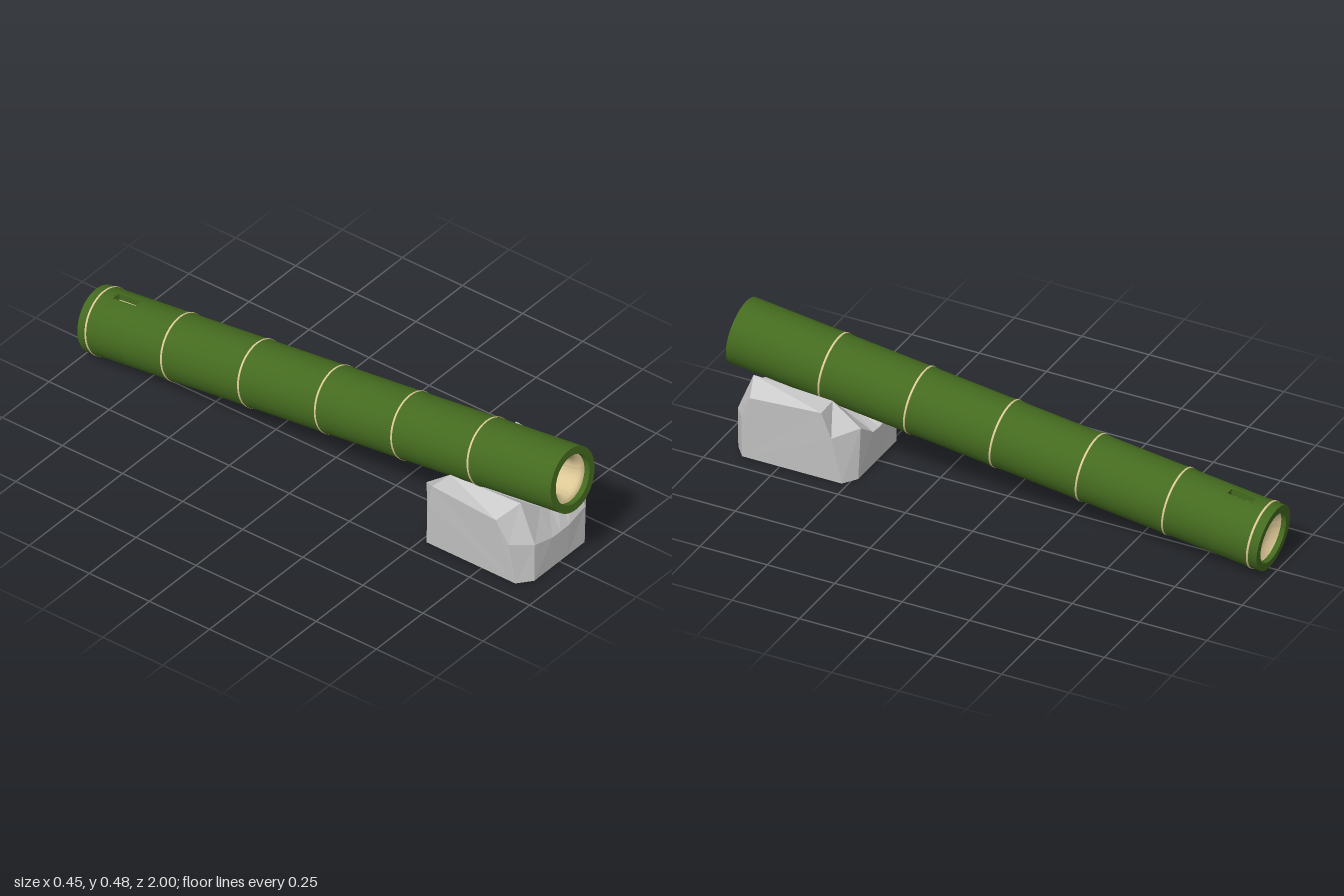
import * as THREE from 'three';
import { toCreasedNormals } from 'three/addons/utils/BufferGeometryUtils.js';

const green = new THREE.MeshStandardMaterial({ color: 0x446a1f });
const cream = new THREE.MeshStandardMaterial({ color: 0xdcc896 });
const grey = new THREE.MeshStandardMaterial({ color: 0xcccccc, flatShading: true });

const HALF = 0.992;                                    // half length of the tube
const TILT = THREE.MathUtils.degToRad(7);
const R = 0.1165;
const NODES = [-0.957, -0.64, -0.317, 0.005, 0.325, 0.645];
const SLOT = { from: -0.912, to: -0.811, half: 0.02 };

function lathe(name, profile, material, start = 0, sweep = Math.PI * 2) {
  const points = profile.map(([r, y]) => new THREE.Vector2(r, y));
  const geometry = toCreasedNormals(new THREE.LatheGeometry(points, 64, start, sweep), 0.6);
  const mesh = new THREE.Mesh(geometry, material);
  mesh.name = name;
  return mesh;
}

function createTube() {
  const tube = new THREE.Group();
  tube.name = 'bambooTube';

  // Stalk segments, swelling slightly towards each joint
  const ends = [-HALF, ...NODES, HALF];
  for (let i = 0; i < ends.length - 1; i++) {
    const a = ends[i], b = ends[i + 1];
    const ra = i === 0 ? R : R + 0.0025, rb = i === ends.length - 2 ? R : R + 0.0025;
    const swell = Math.min(0.03, (b - a) / 3);
    if (i === 1) {
      // The rear segment is left open around the slot on its upper side
      const gap = Math.asin(SLOT.half / R);
      tube.add(lathe('slotSegmentRear', [[ra, a], [R, a + swell], [R, SLOT.from]], green));
      tube.add(lathe('slotSegmentMiddle', [[R, SLOT.from], [R, SLOT.to]], green, Math.PI + gap, 2 * (Math.PI - gap)));
      tube.add(lathe('slotSegmentFront', [[R, SLOT.to], [R, b - swell], [rb, b]], green));
    } else {
      tube.add(lathe('stalkSegment', [[ra, a], [R, a + swell], [R, b - swell], [rb, b]], green));
    }
  }

  // Pale joint rings
  for (const y of NODES) {
    tube.add(lathe('jointRing', [[R, y - 0.005], [0.1198, y - 0.003], [0.1198, y + 0.003], [R, y + 0.005]], cream));
  }

  // Muzzle rim, rounded pale collar and long bore
  tube.add(lathe('muzzleRim', [[R, HALF], [0.089, HALF], [0.088, HALF - 0.02]], green));
  tube.add(lathe('bore', [
    [0.088, HALF - 0.02], [0.081, HALF - 0.021], [0.074, HALF - 0.025], [0.068, HALF - 0.033],
    [0.064, HALF - 0.045], [0.064, -0.75], [0, -0.75],
  ], cream));

  // Rear rim with a shallow dished end
  tube.add(lathe('rearRim', [[0.088, -HALF + 0.025], [0.089, -HALF], [R, -HALF]], green));
  tube.add(lathe('rearDish', [
    [0.0001, -HALF + 0.05], [0.04, -HALF + 0.047], [0.07, -HALF + 0.038], [0.088, -HALF + 0.018],
  ], cream));

  // Slot walls and floor
  const length = SLOT.to - SLOT.from, h = SLOT.half, t = 0.004;
  const rect = (Type, w, l) => new Type([[-w, -l], [w, -l], [w, l], [-w, l]].map(([x, y]) => new THREE.Vector2(x, y)));
  const frameShape = rect(THREE.Shape, h, length / 2);
  frameShape.holes.push(rect(THREE.Path, h - t, length / 2 - t));
  const frame = new THREE.Mesh(new THREE.ExtrudeGeometry(frameShape, { depth: 0.028, bevelEnabled: false }), green);
  frame.name = 'slotFrame';
  frame.position.set(0, (SLOT.from + SLOT.to) / 2, -0.116);
  const floor = new THREE.Mesh(new THREE.BoxGeometry(2 * h, length, 0.004), cream);
  floor.name = 'slotFloor';
  floor.position.set(0, frame.position.y, -0.09);
  tube.add(frame, floor);

  tube.position.y = 0.239;
  tube.rotation.x = Math.PI / 2 - TILT;
  return tube;
}

// Faceted stone: slices across x, each running base-front, front, top, back, base-back
function createStone() {
  const half = [
    [[0, 0.93, 0], [0, 0.935, 0.125], [0, 0.885, 0.215], [0, 0.58, 0.18], [0, 0.477, 0.13], [0, 0.485, 0]],
    [[0.045, 0.93, 0], [0.045, 0.935, 0.126], [0.045, 0.885, 0.228], [0.045, 0.58, 0.19], [0.045, 0.477, 0.135], [0.045, 0.485, 0]],
    [[0.135, 0.93, 0], [0.135, 0.932, 0.147], [0.135, 0.873, 0.292], [0.135, 0.58, 0.275], [0.13, 0.478, 0.195], [0.135, 0.485, 0]],
    [[0.185, 0.89, 0], [0.209, 0.88, 0.168], [0.225, 0.84, 0.26], [0.225, 0.575, 0.278], [0.212, 0.545, 0.18], [0.185, 0.52, 0]],
  ].map((slice) => slice.map(([x, z, y]) => [x, y, z]));
  const mirrored = half.slice(1).reverse().map((slice) => slice.map(([x, y, z]) => [-x, y, z]));
  const slices = [...mirrored, ...half];
  const n = half[0].length, positions = [];
  const tri = (a, b, c) => positions.push(...a, ...b, ...c);
  for (let i = 0; i < slices.length - 1; i++) {
    for (let j = 0; j < n; j++) {
      const k = (j + 1) % n;
      const a = slices[i][j], b = slices[i + 1][j], c = slices[i + 1][k], d = slices[i][k];
      tri(a, b, c);
      tri(a, c, d);
    }
  }
  // Side faces
  const first = slices[0], last = slices[slices.length - 1];
  for (let j = 1; j < n - 1; j++) {
    tri(last[0], last[j + 1], last[j]);
    tri(first[0], first[j], first[j + 1]);
  }
  const geometry = new THREE.BufferGeometry();
  geometry.setAttribute('position', new THREE.Float32BufferAttribute(positions, 3));
  geometry.computeVertexNormals();
  const stone = new THREE.Mesh(geometry, grey);
  stone.name = 'supportStone';
  return stone;
}

export function createModel() {
  const model = new THREE.Group();
  model.name = 'bambooCannon';
  model.add(createTube(), createStone());
  return model;
}
